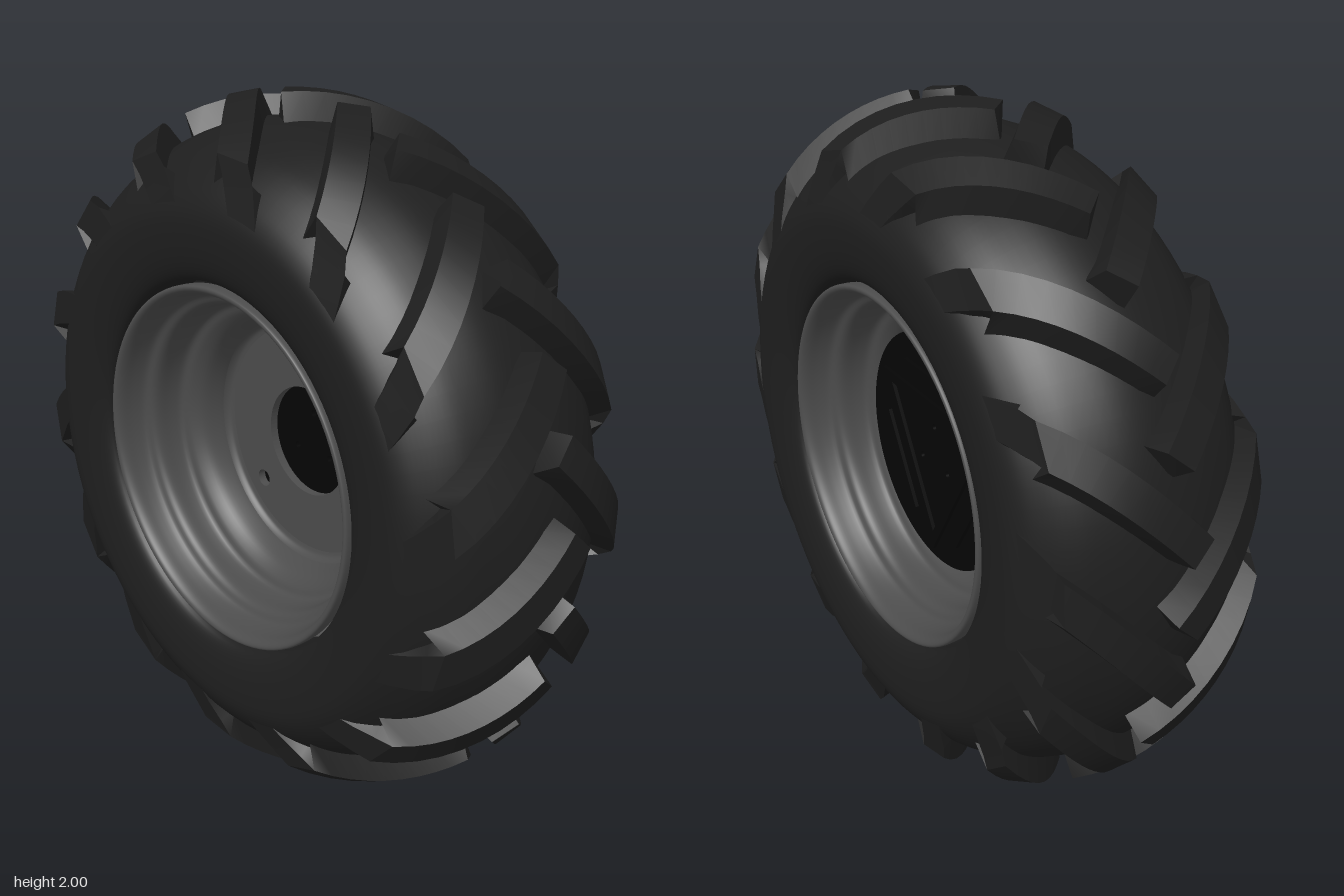
import * as THREE from 'three';
import { mergeGeometries, toCreasedNormals } from 'three/addons/utils/BufferGeometryUtils.js';

const mat = (color, side = THREE.DoubleSide) => new THREE.MeshStandardMaterial({ color, side });
const rubber = mat(0x1e1e1e);
const steel = mat(0x4c4c4c);
const black = mat(0x050505);

function add(parent, name, geometry, material) {
  const mesh = new THREE.Mesh(geometry, material);
  mesh.name = name;
  parent.add(mesh);
  return mesh;
}

// Smooth surface of revolution about the z axis from [radius, z] pairs
function revolve(pairs) {
  const pts = pairs.map(([r, z]) => new THREE.Vector2(r, z));
  const curve = new THREE.SplineCurve(pts).getPoints(pairs.length * 4);
  return new THREE.LatheGeometry(curve, 96).rotateX(Math.PI / 2);
}

// Mirror half a profile, given from the middle plane outwards
const mirrored = (half) => [
  ...half.slice().reverse().map(([r, z]) => [r, -z]),
  ...half.filter(([, z]) => z > 0),
];

// Round plate between two depths, with circular holes [x, y, radius]
function plate(radius, z0, z1, holes) {
  const shape = new THREE.Shape().absarc(0, 0, radius, 0, Math.PI * 2);
  for (const [x, y, r] of holes) {
    shape.holes.push(new THREE.Path().absarc(x, y, r, 0, Math.PI * 2, true));
  }
  return new THREE.ExtrudeGeometry(shape, {
    depth: z1 - z0, bevelEnabled: false, curveSegments: 40,
  }).translate(0, 0, z0);
}

// Three points evenly spaced on a circle, starting at an angle in degrees
const threePoints = (start, radius) => [0, 120, 240].map((d) => {
  const a = THREE.MathUtils.degToRad(start + d);
  return new THREE.Vector2(radius * Math.cos(a), radius * Math.sin(a));
});

// Crown of the tread bars and the casing below them, as radius against z
const crown = (z) => 0.565 + Math.sqrt(0.189 - z * z);
const casing = (z) => 0.925 - 1.15 * z * z - 2.5 * z ** 4;

// One slanted tread bar, cut square at its inner end, lofted out to the shoulder
function treadBar(phase, side) {
  const rows = [];
  const steps = 9;
  const slope = 1.12;
  for (let i = 0; i <= steps; i++) {
    const t = i / steps;
    const top = 0.064 + 0.006 * t;
    const base = top + 0.026;
    // The leading edge starts nearer the far side than the trailing edge
    const zLow = THREE.MathUtils.lerp(-0.05, 0.3, t);
    const zHigh = THREE.MathUtils.lerp(0.012, 0.3, t);
    const inset = i === 0 ? 0.012 : 0;
    rows.push([[zLow, -base, true], [zLow, -top], [zHigh, top], [zHigh, base, true]]
      .map(([z, da, low]) => [
        low ? casing(z) - 0.02 : crown(z),
        phase - slope * (z + 0.05) + da,
        low ? z - inset : z,
      ]));
  }
  // Long outer end, still sweeping as it fades into the sidewall
  const tail = [
    [0.31, 0.837, 0.272, 0.8, 0.04],
    [0.328, 0.78, 0.3, 0.75, 0.09],
    [0.346, 0.715, 0.335, 0.71, 0.15],
  ];
  for (const [z, r, zBase, rBase, turn] of tail) {
    const a = phase - slope * 0.35 - turn;
    rows.push([[rBase, a - 0.094, zBase], [r, a - 0.074, z], [r, a + 0.074, z], [rBase, a + 0.094, zBase]]);
  }

  const pos = [];
  const index = [];
  const face = (p, q, r) => (side > 0 ? index.push(p, q, r) : index.push(p, r, q));
  const quad = (p, q, r, s) => { face(p, q, r); face(p, r, s); };
  rows.forEach((row, i) => {
    for (const [r, a, z] of row) pos.push(r * Math.cos(a), r * Math.sin(a), z * side);
    if (i > 0) {
      const b = i * 4;
      for (let k = 0; k < 3; k++) quad(b - 4 + k, b - 3 + k, b + k + 1, b + k);
    }
  });
  const e = (rows.length - 1) * 4;
  quad(3, 2, 1, 0);
  quad(e, e + 1, e + 2, e + 3);
  const g = new THREE.BufferGeometry();
  g.setAttribute('position', new THREE.Float32BufferAttribute(pos, 3));
  g.setIndex(index);
  return toCreasedNormals(g, 0.5);
}

export function createModel() {
  const model = new THREE.Group();
  const wheel = new THREE.Group();
  wheel.name = 'wheel';
  wheel.position.y = 1;
  model.add(wheel);

  // Tyre casing with nearly flat sidewalls
  add(wheel, 'tyreCasing', revolve(mirrored([
    [0.925, 0], [0.913, 0.1], [0.876, 0.2], [0.84, 0.258], [0.8, 0.3], [0.76, 0.33], [0.715, 0.348],
    [0.66, 0.35], [0.6, 0.343], [0.555, 0.328], [0.532, 0.305], [0.529, 0.26], [0.529, 0.18],
  ])), rubber);

  // Two staggered rows of tread bars
  const count = 14;
  const pitch = (Math.PI * 2) / count;
  for (const side of [1, -1]) {
    const bars = [];
    for (let i = 0; i < count; i++) {
      bars.push(treadBar(0.096 + (i + (side > 0 ? 0 : 0.53)) * pitch, side));
    }
    add(wheel, side > 0 ? 'frontTreadBars' : 'backTreadBars', mergeGeometries(bars), rubber);
  }

  // Stepped rim barrel
  add(wheel, 'rimBarrel', revolve(mirrored([
    [0.36, 0], [0.364, 0.04], [0.378, 0.085], [0.405, 0.115], [0.432, 0.13], [0.441, 0.16],
    [0.445, 0.2], [0.455, 0.22], [0.476, 0.235], [0.487, 0.265], [0.494, 0.298],
    [0.503, 0.315], [0.514, 0.32], [0.521, 0.312], [0.52, 0.28],
  ])), steel);

  // Wheel disc with centre opening and three bolt holes, blended into the barrel
  const boltHoles = threePoints(103, 0.27).map((p) => [p.x, p.y, 0.026]);
  add(wheel, 'wheelDisc', plate(0.359, -0.025, 0, [[0, 0, 0.163], ...boltHoles]), steel);
  add(wheel, 'discFillet', revolve([[0.335, 0.001], [0.35, 0.006], [0.361, 0.022], [0.367, 0.05]]), steel);

  // Hub drum behind the disc, with three small through holes
  const pinHoles = threePoints(90, 0.08).map((p) => [p.x, p.y, 0.01]);
  add(wheel, 'hubDrum', plate(0.352, -0.14, -0.026, pinHoles), black);

  // Raised triangular frame and ribs on the back of the drum
  const frame = new THREE.Shape(threePoints(270, 0.32));
  frame.holes.push(new THREE.Path(threePoints(270, 0.26)));
  add(wheel, 'hubFrame', new THREE.ExtrudeGeometry(frame, { depth: 0.012, bevelEnabled: false })
    .translate(0, 0, -0.151), black);
  for (let i = 0; i < 3; i++) {
    const rib = new THREE.BoxGeometry(0.3, 0.035, 0.012)
      .translate(0, 0.22, -0.145).rotateZ((i * Math.PI * 2) / 3);
    add(wheel, 'hubRib', rib, black);
  }
  return model;
}
